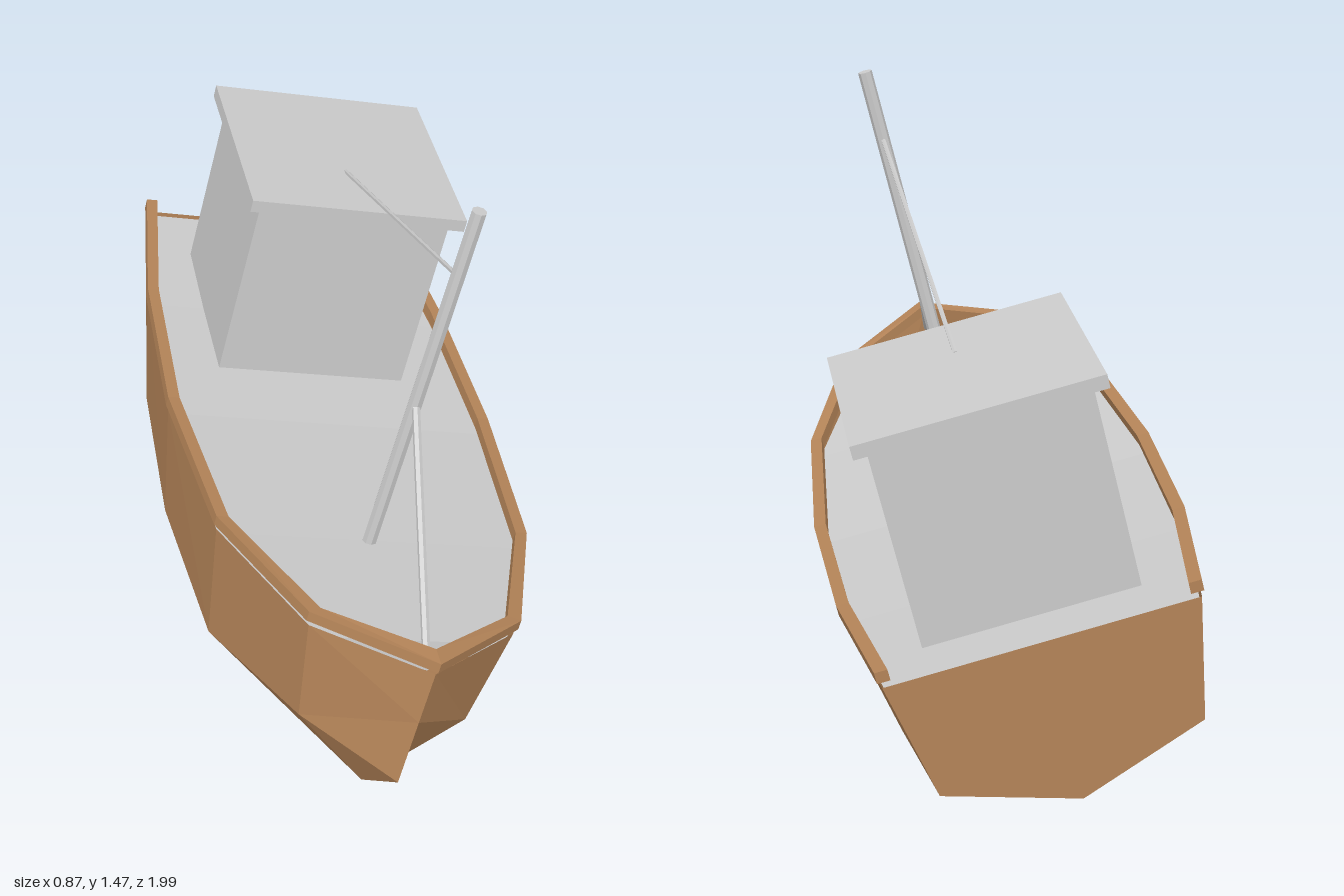
import * as THREE from 'three';

// Stations from bow to stern: z, sheer half-width, sheer y, chine half-width, chine y, keel y
const STATIONS = [
  [0.98, 0, 0.63, 0, 0.48, 0.289],
  [0.79, 0.25, 0.592, 0.208, 0.313, 0.103],
  [0.40, 0.39, 0.538, 0.34, 0.21, 0.02],
  [-0.10, 0.428, 0.512, 0.37, 0.181, 0],
  [-0.58, 0.413, 0.517, 0.355, 0.195, 0.025],
  [-1.0, 0.36, 0.539, 0.305, 0.243, 0.135],
];

const wood = new THREE.MeshStandardMaterial({ color: 0xb48458, flatShading: true, side: THREE.DoubleSide });
const grey = new THREE.MeshStandardMaterial({ color: 0xcccccc, flatShading: true, side: THREE.DoubleSide });

// Joins cross-sections with flat faces; optional fan caps at the ends
function loft(sections, { closed = false, capStart = false, capEnd = false } = {}) {
  const pos = [];
  const tri = (a, b, c) => pos.push(...a, ...b, ...c);
  const n = sections[0].length;
  for (let s = 0; s < sections.length - 1; s++) {
    const A = sections[s], B = sections[s + 1];
    for (let i = 0; i < (closed ? n : n - 1); i++) {
      const j = (i + 1) % n;
      tri(A[i], A[j], B[j]);
      tri(A[i], B[j], B[i]);
    }
  }
  const first = sections[0], last = sections[sections.length - 1];
  for (let i = 1; i < n - 1; i++) {
    if (capStart) tri(first[0], first[i + 1], first[i]);
    if (capEnd) tri(last[0], last[i], last[i + 1]);
  }
  const g = new THREE.BufferGeometry();
  g.setAttribute('position', new THREE.Float32BufferAttribute(pos, 3));
  g.computeVertexNormals();
  return g;
}

function rod(from, to, radius, sides) {
  const a = new THREE.Vector3(...from), b = new THREE.Vector3(...to);
  const dir = b.clone().sub(a);
  const g = new THREE.CylinderGeometry(radius, radius, dir.length(), sides);
  g.applyQuaternion(new THREE.Quaternion().setFromUnitVectors(new THREE.Vector3(0, 1, 0), dir.normalize()));
  const mid = a.add(b).multiplyScalar(0.5);
  return g.translate(mid.x, mid.y, mid.z);
}

function box(halfWidth, y0, y1, z0, z1) {
  return new THREE.BoxGeometry(halfWidth * 2, y1 - y0, z1 - z0).translate(0, (y0 + y1) / 2, (z0 + z1) / 2);
}

export function createModel() {
  const model = new THREE.Group();
  model.name = 'fishingBoat';
  const boat = new THREE.Group();
  boat.name = 'heelingBoat';
  model.add(boat);
  const add = (name, geometry, material) => {
    const mesh = new THREE.Mesh(geometry, material);
    mesh.name = name;
    boat.add(mesh);
  };

  // Hard-chined hull with a flat transom
  add('hull', loft(STATIONS.map(([z, sw, sy, cw, cy, ky]) => [
    [sw, sy, z], [cw, cy, z], [0, ky, z], [-cw, cy, z], [-sw, sy, z],
  ]), { capEnd: true }), wood);

  // Deck just below the sheer
  add('deck', loft(STATIONS.map(([z, sw, sy], i) => {
    const w = Math.max(0, sw - 0.006), y = sy - (i < 2 ? 0.035 : 0.012);
    return [[-w, y, i ? z : 0.93], [w, y, i ? z : 0.93]];
  })), grey);

  // Rail floating above the sheer, from one stern corner round the bow to the other
  const railSection = ([z, sw, sy], side) => {
    const bow = sw === 0;
    const xo = bow ? 0 : side * (sw + 0.008), xi = bow ? 0 : side * (sw - 0.022);
    const zo = bow ? 0.99 : z, zi = bow ? 0.94 : z === 0.79 ? 0.775 : z;
    return [[xo, sy + 0.04, zo], [xo, sy + 0.013, zo], [xi, sy + 0.013, zi], [xi, sy + 0.04, zi]];
  };
  const railPath = [
    ...STATIONS.slice(1).reverse().map((s) => railSection(s, -1)),
    ...STATIONS.map((s) => railSection(s, 1)),
  ];
  add('rail', loft(railPath, { closed: true, capStart: true, capEnd: true }), wood);

  // Wheelhouse
  add('cabin', box(0.255, 0.5, 1.01, -0.83, -0.315), grey);
  add('cabinRoof', box(0.287, 1.01, 1.043, -0.86, -0.285), grey);

  // Mast and its stays
  add('mast', rod([0, 0.515, 0.398], [0, 1.507, 0.43], 0.018, 8), grey);
  add('backStay', rod([0, 1.327, 0.42], [0, 1.04, -0.48], 0.006, 6), grey);
  add('foreStay', rod([0, 0.957, 0.42], [0, 0.625, 0.89], 0.01, 6), grey);

  // The whole boat heels to its left
  boat.rotation.z = -0.24;
  boat.position.set(-0.12, 0, 0);
  return model;
}
